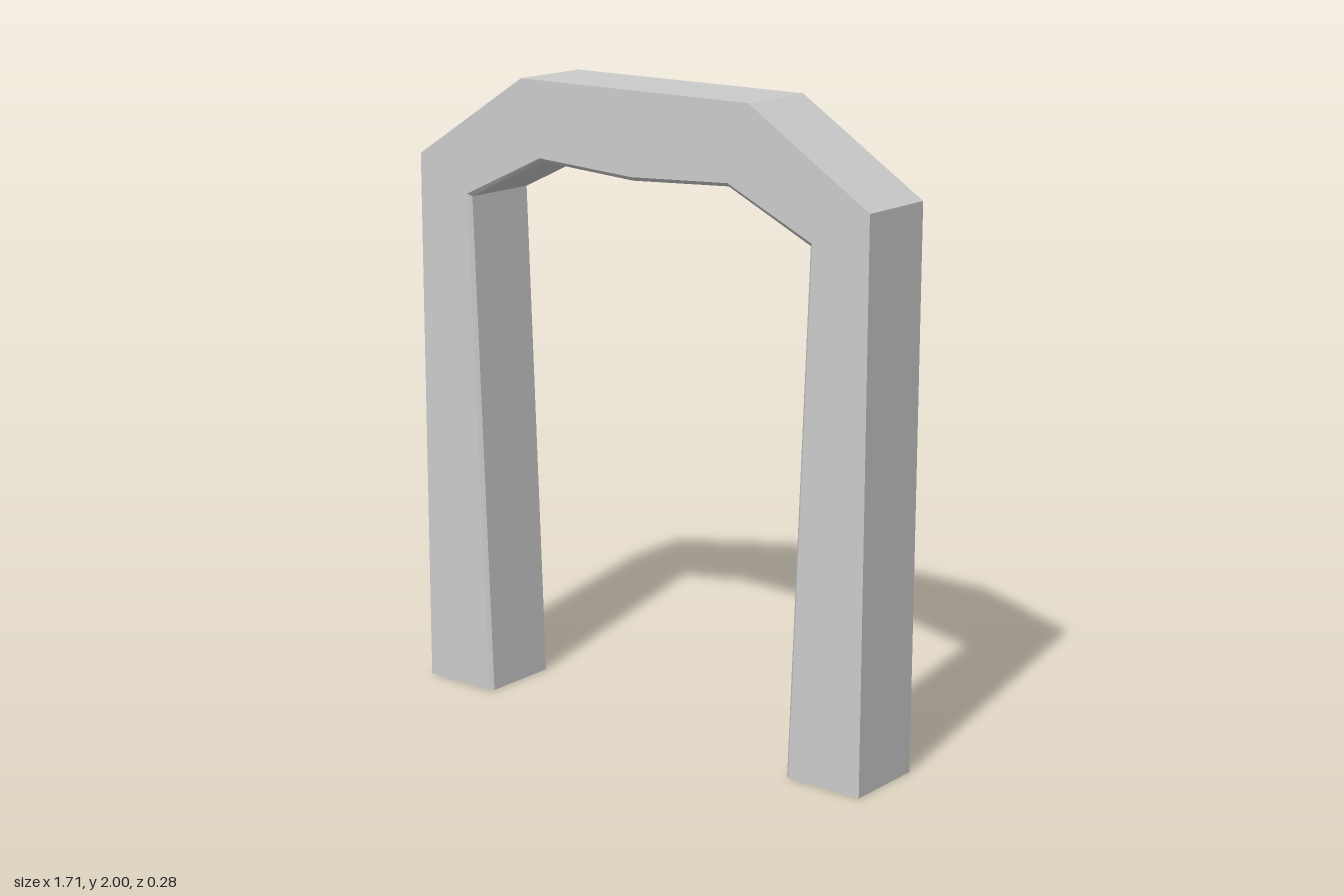
import * as THREE from 'three';

// Half-profiles from foot to crown on the +x side, as [x, y]
const OUTER = [[0.855, 0], [0.855, 1.73], [0.43, 2], [0, 2]];
const OUTER_INSET = [[0.845, 0], [0.845, 1.724], [0.427, 1.99], [0, 1.99]];
const INNER = [[0.588, 0], [0.648, 1.613], [0.355, 1.752], [0, 1.731]];
const INNER_INSET = [[0.6, 0], [0.66, 1.622], [0.358, 1.763], [0, 1.743]];
const Z = 0.138, BEVEL_Z = 0.127;

// Mirror a half-profile into a full run from the -x foot to the +x foot
function fullRun(half) {
  const left = half.map(([x, y]) => [-x, y]);
  return left.concat(half.slice(0, -1).reverse());
}

export function createModel() {
  const group = new THREE.Group();
  group.name = 'archway';

  // Lengthwise edges of the frame, in order around its cross-section
  const edges = [
    [OUTER, Z], [OUTER, -BEVEL_Z], [OUTER_INSET, -Z], [INNER_INSET, -Z],
    [INNER, -BEVEL_Z], [INNER, BEVEL_Z], [INNER_INSET, Z],
  ].map(([half, z]) => fullRun(half).map(([x, y]) => [x, y, z]));

  // Skin between neighbouring edges; the feet stay open underneath
  const positions = [];
  edges.forEach((edge, i) => {
    const next = edges[(i + 1) % edges.length];
    for (let s = 0; s < edge.length - 1; s++) {
      const a = edge[s], b = next[s], c = next[s + 1], d = edge[s + 1];
      positions.push(...a, ...d, ...c, ...a, ...c, ...b);
    }
  });
  const geometry = new THREE.BufferGeometry();
  geometry.setAttribute('position', new THREE.Float32BufferAttribute(positions, 3));
  geometry.computeVertexNormals();

  const frame = new THREE.Mesh(geometry, new THREE.MeshStandardMaterial({
    color: 0xcccccc, flatShading: true, side: THREE.DoubleSide,
  }));
  frame.name = 'archFrame';
  group.add(frame);
  return group;
}
